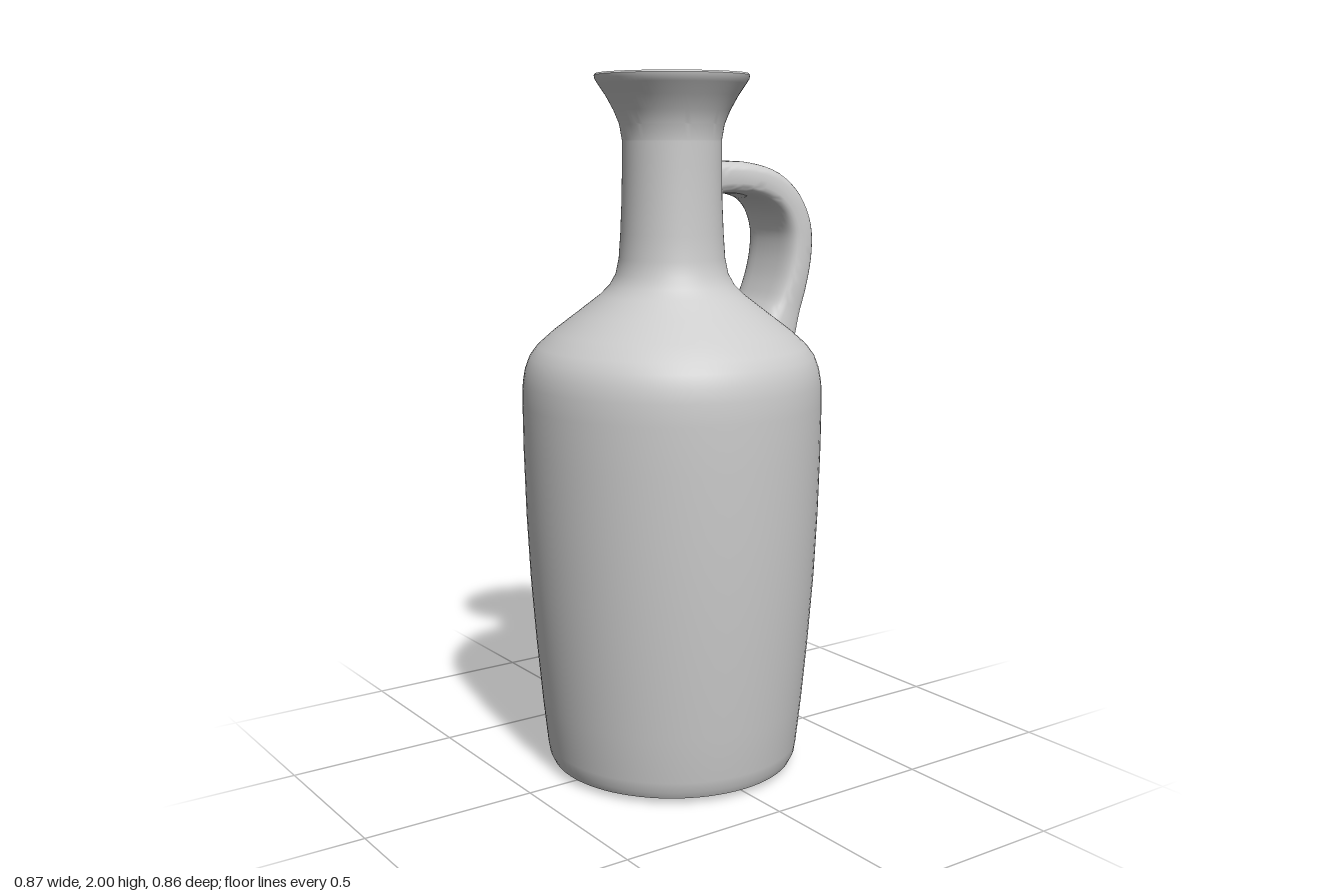
import * as THREE from 'three';
import { toCreasedNormals } from 'three/addons/utils/BufferGeometryUtils.js';

const AXIS_X = -0.01; // the vessel sits slightly off centre to balance the handle
const material = new THREE.MeshStandardMaterial({ color: 0xcccccc, side: THREE.DoubleSide });
const points = (list) => list.map(([r, y]) => new THREE.Vector2(r, y));

function addMesh(group, name, geometry, crease) {
  const mesh = new THREE.Mesh(toCreasedNormals(geometry, crease), material);
  mesh.name = name;
  group.add(mesh);
  return mesh;
}

// Outer wall, from the middle of the base up to the lip
function vesselGeometry() {
  const profile = points([
    [0, 0.004], [0.2, 0.009], [0.34, 0.014], [0.355, 0.02], [0.365, 0.04], [0.37, 0.07],
    [0.384, 0.2], [0.4, 0.38], [0.414, 0.57], [0.423, 0.76], [0.428, 0.95], [0.429, 1.08],
    [0.427, 1.14], [0.42, 1.18], [0.407, 1.215], [0.385, 1.245], [0.34, 1.285],
    [0.27, 1.338], [0.205, 1.388], [0.178, 1.415], [0.16, 1.447], [0.151, 1.49],
    [0.146, 1.56], [0.142, 1.65], [0.14, 1.75], [0.14, 1.815], [0.14, 1.82],
    [0.147, 1.86], [0.148, 1.864], [0.163, 1.9], [0.185, 1.94], [0.207, 1.972],
    [0.215, 1.985], [0.217, 1.995], [0.213, 2],
  ]);
  const geometry = new THREE.LatheGeometry(profile, 80);
  // Small slot pressed into the neck above the handle
  const p = geometry.attributes.position;
  for (let i = 0; i < p.count; i++) {
    const y = p.getY(i);
    const inSlot = y > 1.817 && y < 1.862 && Math.abs(p.getZ(i)) < 0.06;
    if (inSlot && p.getX(i) > 0) p.setX(i, 0.115);
  }
  return geometry;
}

// Funnel-shaped mouth with a shallow floor
function mouthGeometry() {
  return new THREE.LatheGeometry(points([
    [0, 1.838], [0.05, 1.842], [0.09, 1.852], [0.115, 1.875], [0.135, 1.905],
    [0.16, 1.945], [0.182, 1.975], [0.19, 1.984], [0.205, 1.994], [0.213, 2],
  ]).reverse(), 80);
}

// Strap handle: a rounded section swept along a curve in the xy plane
function handleGeometry() {
  // x, y, half thickness, half width
  const stations = [
    [0.09, 1.708, 0.046, 0.062], [0.15, 1.715, 0.046, 0.07], [0.22, 1.711, 0.047, 0.087],
    [0.295, 1.688, 0.048, 0.1], [0.35, 1.64, 0.047, 0.109], [0.381, 1.57, 0.047, 0.114],
    [0.383, 1.5, 0.047, 0.116], [0.367, 1.42, 0.048, 0.117], [0.34, 1.345, 0.053, 0.117],
    [0.31, 1.285, 0.068, 0.124], [0.275, 1.225, 0.085, 0.14],
  ];
  const path = new THREE.CatmullRomCurve3(stations.map(([x, y]) => new THREE.Vector3(x, y, 0)));
  const sizes = new THREE.CatmullRomCurve3(stations.map(([, , t, w]) => new THREE.Vector3(t, w, 0)));
  const rings = 40, sides = 32, position = [], index = [];
  const soften = (v, k) => Math.sign(v) * Math.abs(v) ** k;
  for (let i = 0; i <= rings; i++) {
    const c = path.getPoint(i / rings), s = sizes.getPoint(i / rings), t = path.getTangent(i / rings);
    for (let j = 0; j < sides; j++) {
      const a = (j / sides) * Math.PI * 2;
      const n = s.x * soften(Math.cos(a), 0.6), w = s.y * soften(Math.sin(a), 0.5);
      position.push(c.x - t.y * n, c.y + t.x * n, w);
      if (i === rings) continue;
      const p = i * sides + j, q = i * sides + (j + 1) % sides;
      index.push(p, q, p + sides, q, q + sides, p + sides);
    }
  }
  const geometry = new THREE.BufferGeometry();
  geometry.setAttribute('position', new THREE.Float32BufferAttribute(position, 3));
  geometry.setIndex(index);
  return geometry;
}

export function createModel() {
  const group = new THREE.Group();
  group.name = 'handledJug';
  addMesh(group, 'vessel', vesselGeometry(), 0.7).position.x = AXIS_X;
  addMesh(group, 'mouth', mouthGeometry(), 0.7).position.x = AXIS_X;
  addMesh(group, 'handle', handleGeometry(), 0.8);
  return group;
}
